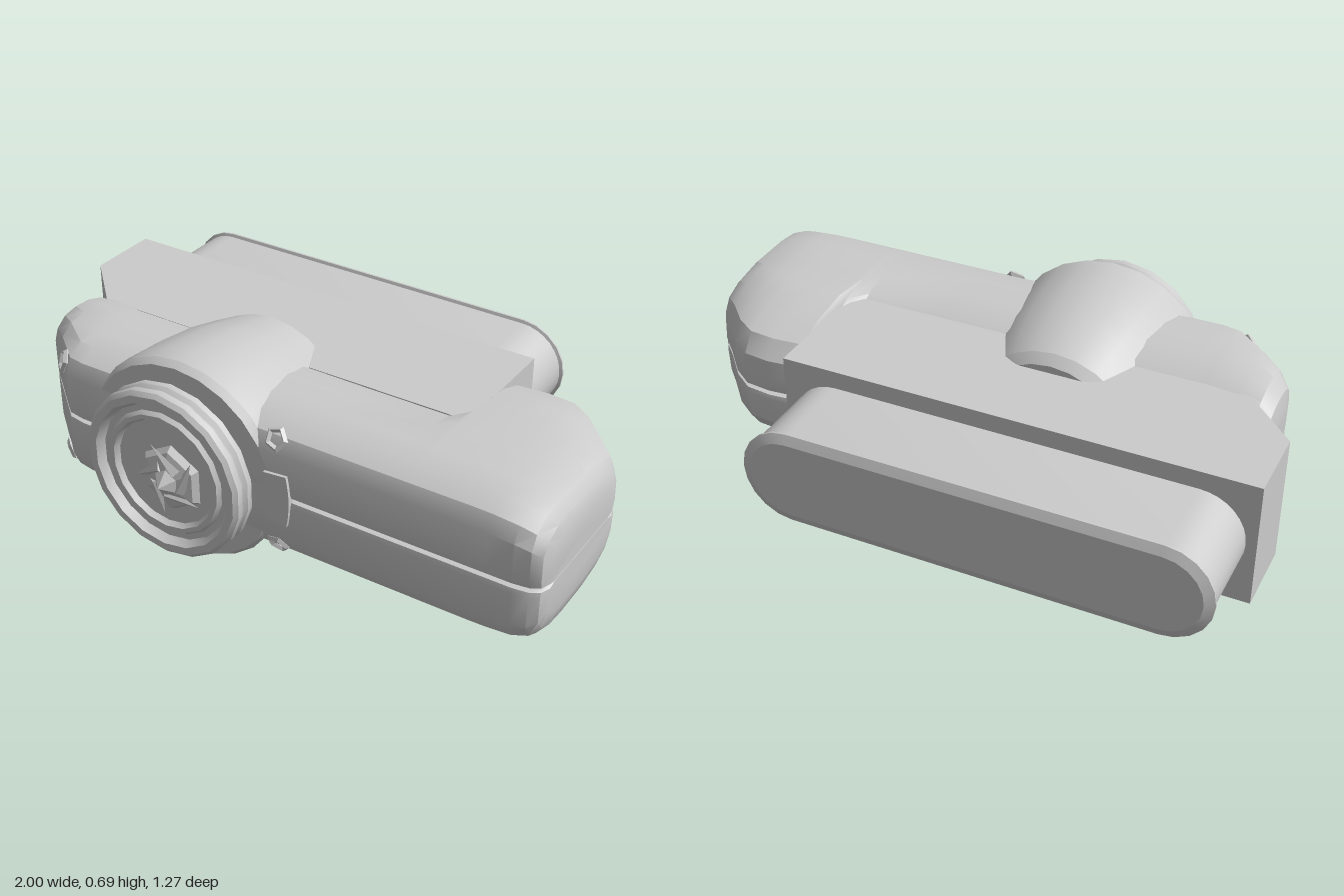
import * as THREE from 'three';
import { toCreasedNormals } from 'three/addons/utils/BufferGeometryUtils.js';

const MID = 0.35;

export function createModel() {
  const group = new THREE.Group();
  const mat = new THREE.MeshStandardMaterial({ color: 0xcccccc });
  const flat = new THREE.MeshStandardMaterial({ color: 0xcccccc, flatShading: true });

  const add = (name, geo, x = 0, y = 0, z = 0, crease = 0.5, material = mat) => {
    const mesh = new THREE.Mesh(crease ? toCreasedNormals(geo, crease) : geo, material);
    mesh.name = name;
    mesh.position.set(x, y, z);
    group.add(mesh);
    return mesh;
  };
  // Turned part whose axis points to the front; profile is [radius, z]
  const turned = (profile, sides) =>
    new THREE.LatheGeometry(profile.map(p => new THREE.Vector2(...p)), sides).rotateX(Math.PI / 2);

  // Shell stations along x: [x, back z, front z, half height]
  const stations = [
    [-0.91, 0.05, 0.23, 0.13], [-0.9, 0.03, 0.28, 0.18], [-0.86, 0.03, 0.32, 0.22],
    [-0.79, 0.03, 0.38, 0.238], [-0.68, 0.03, 0.475, 0.242], [-0.62, 0.03, 0.485, 0.243],
    [-0.2, 0.03, 0.485, 0.243], [0.2, 0.03, 0.485, 0.24], [0.5, 0.03, 0.485, 0.24],
    [0.55, -0.05, 0.485, 0.24], [0.565, -0.25, 0.485, 0.24], [0.67, -0.26, 0.485, 0.24],
    [0.76, -0.25, 0.485, 0.24], [0.83, -0.2, 0.485, 0.238], [0.91, -0.11, 0.485, 0.23],
    [0.96, -0.06, 0.478, 0.212], [0.988, -0.02, 0.46, 0.18], [1.0, 0.02, 0.43, 0.13],
  ];
  // Half section from the front seam over the top to the back seam, as [z, y]
  const section = (zb, zf, h) => {
    const L = zf - zb, f = Math.min(1, L / 0.42);
    return [
      [zf - 0.03, 0.002], [zf - 0.004, 0.008], [zf, 0.025], [zf, 0.62 * h],
      [zf - 0.025 * f, 0.83 * h], [zf - 0.08 * f, 0.96 * h], [zf - 0.16 * f, h],
      [zb + 0.4 * L, 0.985 * h], [zb + 0.2 * L, 0.9 * h], [zb + 0.07 * L, 0.75 * h],
      [zb + 0.01 * L, 0.5 * h], [zb, 0.025], [zb + 0.004, 0.008], [zb + 0.03, 0.002],
    ];
  };
  const shellHalf = (sign) => {
    const pos = [], idx = [], n = 14, last = stations.length - 1;
    for (const [x, zb, zf, h] of stations) {
      const ring = section(zb, zf, h);
      if (sign < 0) ring.reverse();
      for (const [z, y] of ring) pos.push(x, 0.353 + sign * y, z);
    }
    for (let i = 0; i < last; i++) for (let j = 0; j < n; j++) {
      const a = i * n + j, b = i * n + (j + 1) % n;
      idx.push(a, a + n, b + n, a, b + n, b);
    }
    // End caps
    for (const i of [0, last]) {
      const [x, zb, zf, h] = stations[i], c = pos.length / 3;
      pos.push(x, 0.353 + sign * h * 0.5, (zb + zf) / 2);
      for (let j = 0; j < n; j++) {
        const a = i * n + j, b = i * n + (j + 1) % n;
        idx.push(c, ...(i ? [b, a] : [a, b]));
      }
    }
    const g = new THREE.BufferGeometry();
    g.setAttribute('position', new THREE.Float32BufferAttribute(pos, 3));
    g.setIndex(idx);
    return g;
  };
  add('upperShell', shellHalf(1));
  add('lowerShell', shellHalf(-1));

  // Round swelling that carries the dial
  const housing = turned([[0, -0.05], [0.24, -0.05], [0.27, -0.02], [0.298, 0.08], [0.322, 0.18],
    [0.338, 0.3], [0.345, 0.4], [0.345, 0.46], [0.33, 0.485], [0, 0.485]], 24);
  add('dialHousing', housing, -0.23, 0.345, 0).scale.x = 1.03;

  // Rear block with one cut corner
  const plan = new THREE.Shape([[-1, 0.33], [-1, 0.08], [-0.82, -0.1], [0.52, -0.1], [0.555, 0], [0.555, 0.33]]
    .map(p => new THREE.Vector2(...p)));
  add('rearBlock', new THREE.ExtrudeGeometry(plan, { depth: 0.42, bevelEnabled: false })
    .rotateX(-Math.PI / 2), 0, 0.14, 0, 0.3);

  // Rounded-end outline for the back pad and the underside strip
  const capsule = (halfLength, r) => {
    const s = new THREE.Shape();
    s.absarc(halfLength - r, 0, r, -Math.PI / 2, Math.PI / 2);
    s.absarc(-halfLength + r, 0, r, Math.PI / 2, Math.PI * 1.5);
    return s;
  };
  add('backPad', new THREE.ExtrudeGeometry(capsule(0.745, 0.15),
    { depth: 0.29, bevelEnabled: false, curveSegments: 8 }), -0.222, MID, -0.61);
  add('backPadRim', new THREE.ExtrudeGeometry(capsule(0.725, 0.13), {
    depth: 0.007, bevelThickness: 0.014, bevelSize: 0.03, bevelSegments: 1, curveSegments: 5,
  }), -0.222, MID, -0.621, 0.35);
  add('undersideStrip', new THREE.ExtrudeGeometry(capsule(0.27, 0.025),
    { depth: 0.008, bevelEnabled: false, curveSegments: 3 }).rotateX(Math.PI / 2), -0.22, 0.142, -0.17);

  // Dial: grooved rim, recessed face, stem
  add('dialStem', turned([[0.1, 0.47], [0.1, 0.52]], 12), -0.225, MID, 0);
  add('dial', turned([[0, 0.5], [0.27, 0.5], [0.288, 0.512], [0.288, 0.532], [0.278, 0.545],
    [0.288, 0.558], [0.288, 0.58], [0.275, 0.592], [0.25, 0.592], [0.235, 0.565],
    [0.215, 0.565], [0.205, 0.578], [0.19, 0.578], [0.18, 0.56], [0, 0.56]], 18),
  -0.225, MID, 0, 0.4);

  // Faceted boss with splayed blades in the middle of the dial
  add('dialBoss', turned([[0.12, 0.555], [0.1, 0.58], [0.045, 0.595], [0, 0.635]], 6),
    -0.2, 0.34, 0, 0, flat);
  for (let i = 0; i < 5; i++) {
    const a = i * Math.PI * 0.4 + 0.5;
    const blade = add('dialBlade', new THREE.ConeGeometry(0.025, 0.12, 4),
      -0.2 + 0.075 * Math.cos(a), 0.34 + 0.075 * Math.sin(a), 0.585, 0, flat);
    blade.rotation.z = a - 0.9;
    blade.scale.z = 0.7;
  }

  // Curved tab beside the dial
  const tab = new THREE.Shape();
  tab.absarc(-0.23, 0, 0.41, -0.22, 0.22, false);
  tab.absarc(-0.23, 0, 0.33, 0.25, -0.25, true);
  add('sideTab', new THREE.ExtrudeGeometry(tab, { depth: 0.05, bevelEnabled: false, curveSegments: 4 }),
    0, MID, 0.445);

  // Small screw sockets in the front corners, mirrored above and below
  for (const s of [-1, 1]) {
    const outer = add('screwSocket', new THREE.TorusGeometry(0.032, 0.01, 4, 5),
      -0.72, 0.353 + s * 0.17, 0.435, 0, flat);
    outer.rotation.set(-s * 0.4, -0.7, 0);
    const inner = add('screwSocket', new THREE.TorusGeometry(0.032, 0.01, 4, 5),
      0.12, 0.353 + s * 0.19, 0.465, 0, flat);
    inner.rotation.x = -s * 0.5;
  }
  return group;
}
